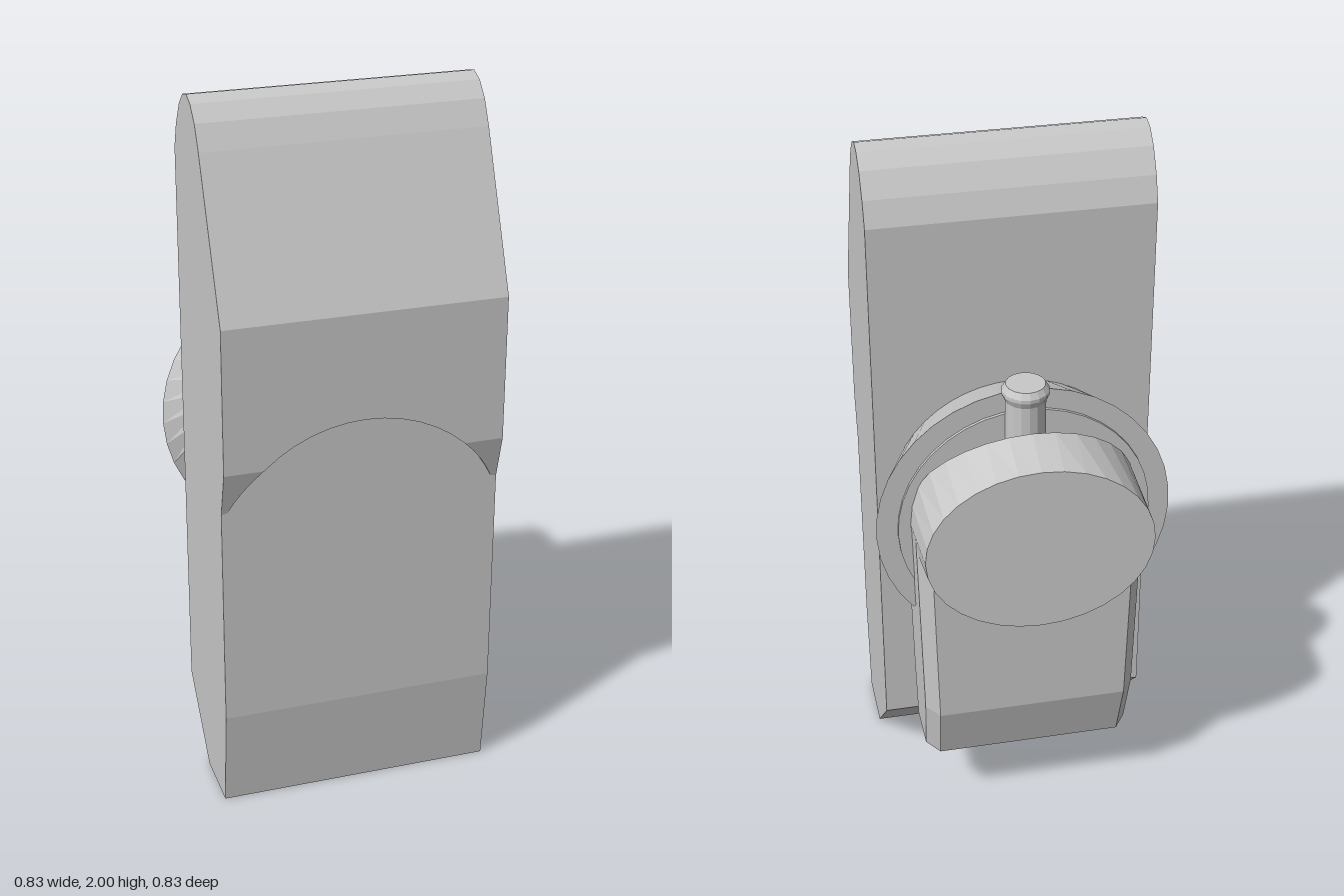
import * as THREE from 'three';

// Skin a list of closed rings of [x, y, z] points, capped at both ends, with flat faces facing outward.
function loft(rings) {
  const tris = [];
  const n = rings[0].length;
  for (let i = 0; i < rings.length - 1; i++) {
    for (let j = 0; j < n; j++) {
      const k = (j + 1) % n;
      const a = rings[i][j], b = rings[i][k], c = rings[i + 1][k], d = rings[i + 1][j];
      tris.push([a, b, c], [a, c, d]);
    }
  }
  const cap = (ring, flip) => {
    const mid = [0, 1, 2].map(c => ring.reduce((s, p) => s + p[c], 0) / n);
    ring.forEach((p, j) => {
      const q = ring[(j + 1) % n];
      tris.push(flip ? [mid, q, p] : [mid, p, q]);
    });
  };
  cap(rings[0], true);
  cap(rings[rings.length - 1], false);
  const v = p => new THREE.Vector3(...p);
  const volume = tris.reduce((s, [a, b, c]) => s + v(a).dot(v(b).cross(v(c))), 0);
  const points = tris.flatMap(t => (volume < 0 ? [t[0], t[2], t[1]] : t)).flat();
  const geometry = new THREE.BufferGeometry();
  geometry.setAttribute('position', new THREE.Float32BufferAttribute(points, 3));
  geometry.computeVertexNormals();
  return geometry;
}

// Side section of the body; the raised upper front ends in an arch that depends on x.
function bodySection(x) {
  const arch = Math.max(0.93, 0.757 + Math.sqrt(Math.max(0, 0.413 ** 2 - x * x)));
  const lipZ = arch >= 1.06 ? 0.415 : 0.38 + 0.035 * (arch - 0.93) / 0.13;
  return [
    [0.35, 0], [0.17, 0], [-0.025, 0.2], [-0.025, 1.82], [0, 1.89], [0.04, 1.955],
    [0.08, 1.99], [0.12, 2], [0.16, 1.985], [0.2, 1.945], [0.235, 1.88], [0.415, 1.47],
    [0.415, Math.max(arch, 1.06)], [lipZ, arch], [0.38, arch], [0.38, 0.29]
  ].map(([z, y]) => [x, y, z]);
}

// Disc open at the bottom: separate radius and lowest angle (degrees) at its front and back.
function openDisc(front, back, cy) {
  const rings = [];
  const steps = 28;
  for (let i = 0; i <= steps; i++) {
    const at = ({ low, z }, r) => {
      const a = THREE.MathUtils.degToRad(low + (180 - 2 * low) * i / steps);
      return [r * Math.cos(a), cy + r * Math.sin(a), z];
    };
    rings.push([at(front, 0.04), at(front, front.r), at(back, back.r), at(back, 0.04)]);
  }
  return loft(rings);
}

export function createModel() {
  const group = new THREE.Group();
  const grey = new THREE.MeshStandardMaterial({ color: 0xc8c8c8 });
  grey.name = 'light grey';
  const add = (name, geometry) => {
    const mesh = new THREE.Mesh(geometry, grey);
    mesh.name = name;
    group.add(mesh);
    return mesh;
  };

  // Tall body with the arched step on its front
  const half = [0.05, 0.1, 0.15, 0.2, 0.24, 0.281, 0.31, 0.335, 0.355, 0.373, 0.39];
  const xs = [...half.map(x => -x).reverse(), 0, ...half];
  add('body', loft(xs.map(bodySection)));

  // Flared mounting disc and the thin step on its back
  add('mountingDisc', openDisc({ r: 0.35, z: -0.02, low: -15 }, { r: 0.415, z: -0.178, low: -40 }, 0.97));
  add('discStep', openDisc({ r: 0.355, z: -0.17, low: -38 }, { r: 0.355, z: -0.187, low: -38 }, 0.97));

  // Round knob: slanted cut on the upper front, back face flattened in height
  const hinge = 1.13;
  const knob = [[], [], []];
  for (let i = 0; i < 32; i++) {
    const a = i / 32 * Math.PI * 2;
    const x = 0.32 * Math.cos(a), y = 0.995 + 0.315 * Math.sin(a);
    const cut = Math.max(0, y - hinge) * 0.57;
    const fall = Math.max(0, 0.995 - y) * 0.35;
    knob[0].push([x, Math.min(y, hinge), -0.18]);
    knob[1].push([x, y, -0.18 - cut - fall]);
    const s = Math.sin(a);
    knob[2].push([x * 0.985, 1.015 + 0.245 * s, -0.405 + 0.01 * s]);
  }
  add('knob', loft(knob));

  // Handle with bevelled back edges and a slanted toe
  const handle = [[0.22, 0.3, -0.26], [0.4, 0.305, -0.31], [1.0, 0.318, -0.31]];
  add('handle', loft(handle.map(([y, w, back]) => [
    [-w, y, -0.075], [w, y, -0.075], [w, y, back + 0.05],
    [w - 0.035, y, back], [0.035 - w, y, back], [-w, y, back + 0.05]
  ])));

  // Button pin on top
  const pin = [[0, 1.0], [0.056, 1.0], [0.056, 1.365], [0.065, 1.385], [0.065, 1.395], [0.054, 1.412], [0, 1.412]];
  const pinMesh = add('pin', new THREE.LatheGeometry(pin.map(p => new THREE.Vector2(...p)), 16).toNonIndexed());
  pinMesh.geometry.computeVertexNormals();
  pinMesh.position.z = -0.19;

  return group;
}
